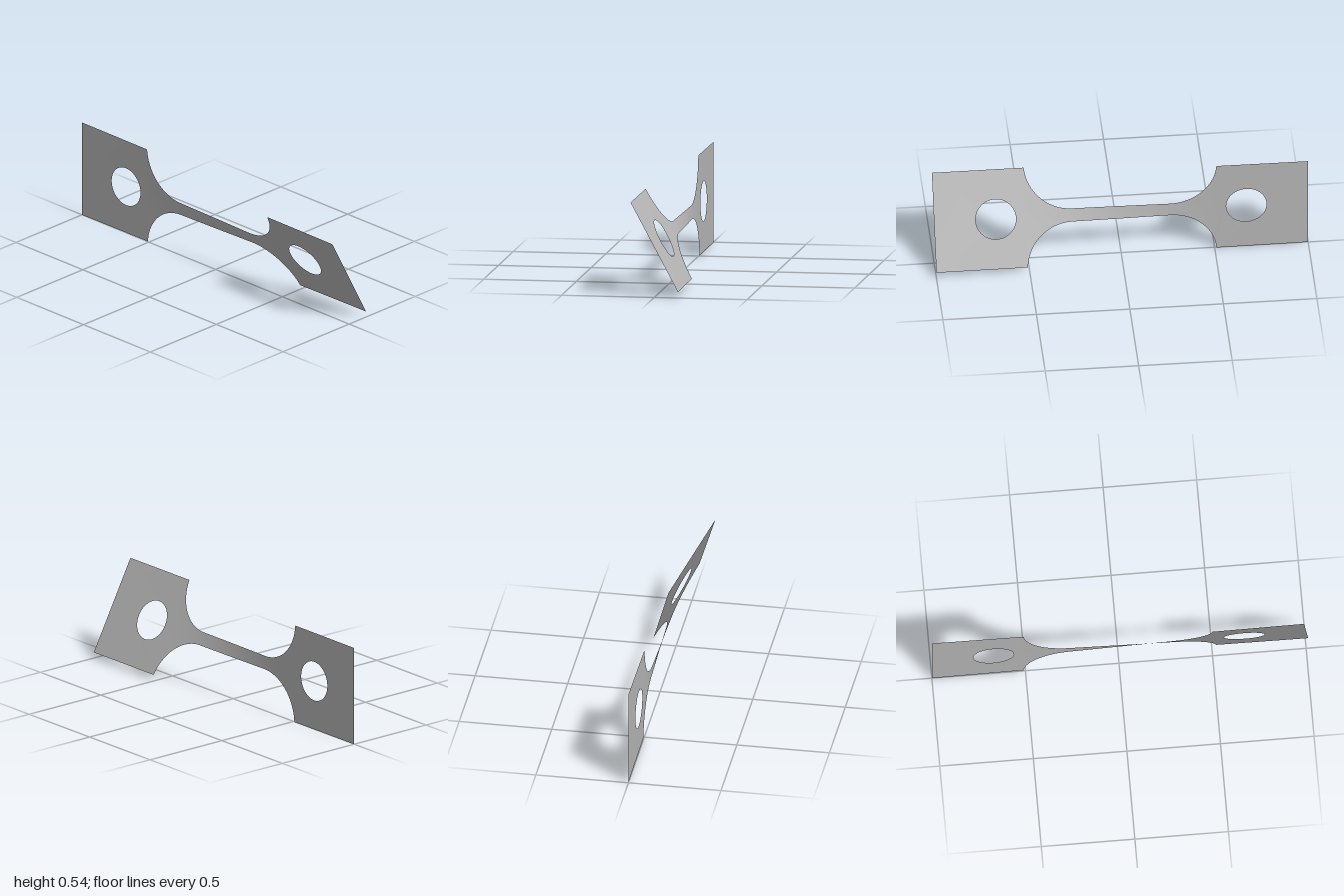
import * as THREE from 'three';

const HALF = 0.27;        // half height of the end tabs, also the axis height
const NECK = 0.036;       // half height of the narrow gauge strip
const TAB_X = 0.51;       // where the tabs begin
const FILLET_X = 0.26;    // where the fillets meet the gauge strip
const FILLET_R = 0.25;

// Twist angle in degrees along the length
const TWIST = [[-1, 0], [-0.8, 0.1], [-0.51, 0.7], [-0.4, 1.8], [-0.3, 3.8], [-0.2, 7],
  [0.2, 21.2], [0.3, 24.4], [0.4, 26.4], [0.51, 27.5], [0.8, 28.1], [1, 28.2]];

function twistAt(x) {
  for (let i = 1; i < TWIST.length; i++) {
    const [x0, a0] = TWIST[i - 1];
    const [x1, a1] = TWIST[i];
    if (x <= x1 + 1e-6) return THREE.MathUtils.degToRad(a0 + (a1 - a0) * (x - x0) / (x1 - x0));
  }
  return THREE.MathUtils.degToRad(28.2);
}

// Half height of the neck: straight gauge, then a circular fillet
function halfHeight(x) {
  const d = Math.abs(x) - FILLET_X;
  if (d <= 0) return NECK;
  return Math.min(HALF, NECK + FILLET_R - Math.sqrt(Math.max(0, FILLET_R ** 2 - d * d)));
}

// Turn every vertex around the long axis by the local twist
function twist(geometry) {
  const p = geometry.attributes.position;
  for (let i = 0; i < p.count; i++) {
    const a = twistAt(p.getX(i));
    const y = p.getY(i);
    p.setXYZ(i, p.getX(i), HALF + y * Math.cos(a), y * Math.sin(a));
  }
  geometry.computeVertexNormals();
  return geometry;
}

// Flat square-ended tab with a round hole
function tabGeometry(side) {
  const x0 = side < 0 ? -1 : TAB_X;
  const x1 = side < 0 ? -TAB_X : 1;
  const shape = new THREE.Shape();
  shape.moveTo(x0, -HALF);
  shape.lineTo(x1, -HALF);
  shape.lineTo(x1, HALF);
  shape.lineTo(x0, HALF);
  shape.closePath();
  const hole = new THREE.Path();
  hole.absarc(side * 0.67, 0, 0.108, 0, Math.PI * 2, true);
  shape.holes.push(hole);
  return twist(new THREE.ShapeGeometry(shape, 32));
}

// Narrow strip with flared fillets at both ends, finely spaced near the tabs
function neckGeometry() {
  const geometry = new THREE.PlaneGeometry(2, 2, 128, 8);
  const p = geometry.attributes.position;
  for (let i = 0; i < p.count; i++) {
    const x = TAB_X * Math.sin(p.getX(i) * Math.PI / 2);
    p.setXY(i, x, p.getY(i) * halfHeight(x));
    // the outermost column meets the tab corners exactly
    if (Math.abs(x) > TAB_X - 1e-5) p.setY(i, Math.sign(p.getY(i)) * Math.abs(p.getY(i)) * HALF / halfHeight(x));
  }
  return twist(geometry);
}

export function createModel() {
  const steel = new THREE.MeshStandardMaterial({ color: 0xb8b8b8, side: THREE.DoubleSide });
  steel.name = 'grey steel';
  const group = new THREE.Group();
  group.name = 'twistedTestStrip';
  const add = (name, geometry) => {
    const mesh = new THREE.Mesh(geometry, steel);
    mesh.name = name;
    group.add(mesh);
  };
  add('rightTab', tabGeometry(-1));
  add('neck', neckGeometry());
  add('leftTab', tabGeometry(1));
  return group;
}
